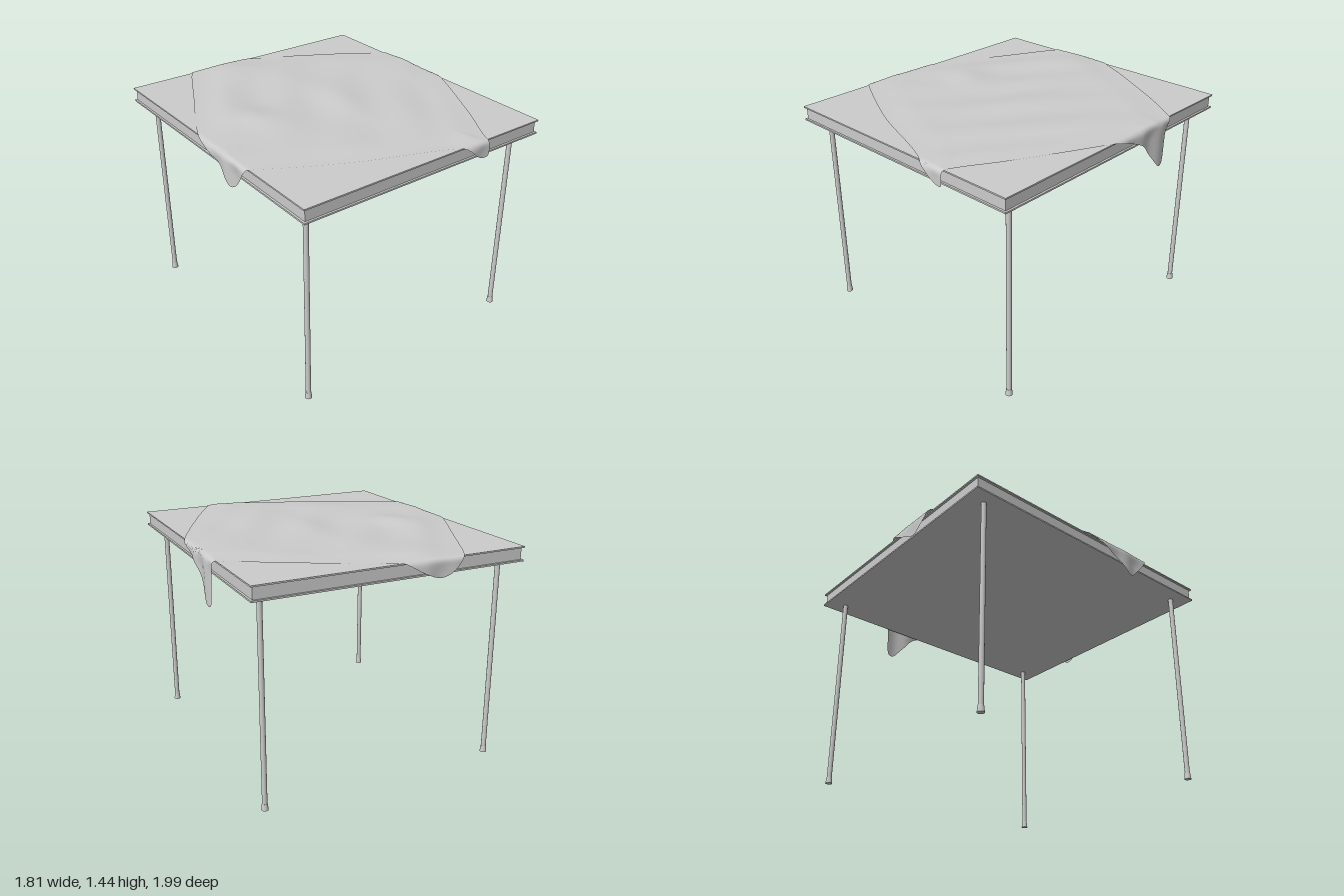
import * as THREE from 'three';

const EDGE_X = 0.875, EDGE_Z = 0.967, TOP = 1.407;

const grey = (extra = {}) => new THREE.MeshStandardMaterial({ color: 0xcccccc, ...extra });

// Cloth outline laid out flat (x, z), from the left-hand corner round by the front
const OUTLINE = [
  [-0.875, -0.11], [-0.98, 0.17], [-1.065, 0.29], [-0.99, 0.38], [-0.875, 0.46],
  [-0.36, 0.735], [0.2, 0.955], [0.37, 1.08], [0.42, 1.075], [0.43, 0.97],
  [0.6, 0.66], [0.87, 0.12], [0.99, -0.18], [1.1, -0.28], [1.18, -0.355],
  [1.175, -0.395], [0.97, -0.42], [0.875, -0.47], [0.66, -0.61], [0.17, -0.885],
  [0, -0.965], [-0.18, -1.065], [-0.28, -1.095], [-0.36, -1.06], [-0.44, -0.965], [-0.63, -0.6],
];

const bump = (x, z, cx, cz, rx, rz) => Math.exp(-(((x - cx) / rx) ** 2) - ((z - cz) / rz) ** 2);

// Soft wrinkles: diagonal ridges, one round swelling and a few shallow rises
function wrinkle(x, z) {
  const across = 0.74 * x + 0.67 * z, along = 0.67 * x - 0.74 * z;
  return 0.010
    + 0.005 * Math.sin(across * 17 + 0.9 * Math.sin(along * 3)) * (0.6 + 0.4 * Math.cos(along * 4))
    + 0.002 * Math.sin(along * 9 + across * 5)
    + 0.022 * bump(x, z, -0.5, -0.08, 0.13, 0.14)
    + 0.007 * bump(x, z, 0.08, 0.05, 0.12, 0.45)
    + 0.006 * bump(x, z, -0.2, -0.75, 0.25, 0.18);
}

// Bends a flat coordinate over a table edge: returns [outward position, drop]
function fold(p, edge, r = 0.026) {
  const over = Math.abs(p) - edge;
  if (over <= 0) return [p, 0];
  const a = Math.min(over / r, Math.PI / 2);
  const drop = r * (1 - Math.cos(a)) + Math.max(0, over - r * Math.PI / 2);
  return [Math.sign(p) * (edge + r * Math.sin(a)), drop];
}

function clothGeometry() {
  const curve = new THREE.CatmullRomCurve3(
    OUTLINE.map(([x, z]) => new THREE.Vector3(x, 0, z)), true, 'centripetal');
  const around = 208, rings = 80, cx = 0.04, cz = 0;
  const rim = curve.getPoints(around).slice(0, around);
  const positions = [], indices = [];
  for (let i = 0; i <= rings; i++) {
    const t = i / rings;
    for (const p of rim) {
      const flatX = cx + (p.x - cx) * t, flatZ = cz + (p.z - cz) * t;
      let [x, dropX] = fold(flatX, EDGE_X), [z, dropZ] = fold(flatZ, EDGE_Z);
      const drop = dropX + dropZ;
      // hanging corners ripple gently and lean back towards the table
      const loose = Math.min(1, drop / 0.08);
      if (dropX) x += Math.sign(x) * loose * (0.007 * Math.sin(flatZ * 32) - 0.004);
      if (dropZ) z += Math.sign(z) * loose * 0.005 * Math.sin(flatX * 30);
      const settle = 1 - 0.75 * THREE.MathUtils.smoothstep(t, 0.75, 1);
      const y = TOP + 0.002 + Math.max(0.001, wrinkle(flatX, flatZ) * settle) - drop;
      positions.push(x, y, z);
    }
  }
  for (let i = 0; i < rings; i++) {
    for (let j = 0; j < around; j++) {
      const k = (j + 1) % around;
      const a = i * around + j, b = i * around + k;
      const c = a + around, d = b + around;
      if (i > 0) indices.push(a, d, b);
      indices.push(a, c, d);
    }
  }
  const g = new THREE.BufferGeometry();
  g.setAttribute('position', new THREE.Float32BufferAttribute(positions, 3));
  g.setIndex(indices);
  g.computeVertexNormals();
  return g;
}

export function createModel() {
  const model = new THREE.Group();
  model.name = 'tableWithCloth';
  const metal = grey();

  const slab = (name, bottom, top, inset) => {
    const mesh = new THREE.Mesh(
      new THREE.BoxGeometry(2 * (EDGE_X - inset), top - bottom, 2 * (EDGE_Z - inset)), metal);
    mesh.position.y = (bottom + top) / 2;
    mesh.name = name;
    model.add(mesh);
  };

  // Table top: two thin boards with a recessed apron between them
  slab('topBoard', 1.398, TOP, 0);
  slab('apron', 1.325, 1.398, 0.013);
  slab('bottomBoard', 1.315, 1.325, 0);

  // Four slender legs with flared feet
  const legGeo = new THREE.CylinderGeometry(0.016, 0.016, 1.28, 20);
  const footGeo = new THREE.CylinderGeometry(0.017, 0.022, 0.042, 20);
  for (const sx of [-1, 1]) {
    for (const sz of [-1, 1]) {
      const leg = new THREE.Group();
      leg.name = (sz > 0 ? 'front' : 'back') + (sx > 0 ? 'Left' : 'Right') + 'Leg';
      const post = new THREE.Mesh(legGeo, metal);
      post.name = 'post';
      post.position.y = 0.68;
      const foot = new THREE.Mesh(footGeo, metal);
      foot.name = 'foot';
      foot.position.y = 0.021;
      leg.add(post, foot);
      leg.position.set(sx * 0.78, 0, sz * 0.845);
      model.add(leg);
    }
  }

  // Draped cloth, turned so that its corners hang over the four sides
  const cloth = new THREE.Mesh(clothGeometry(), grey({ side: THREE.DoubleSide }));
  cloth.name = 'cloth';
  model.add(cloth);

  return model;
}
